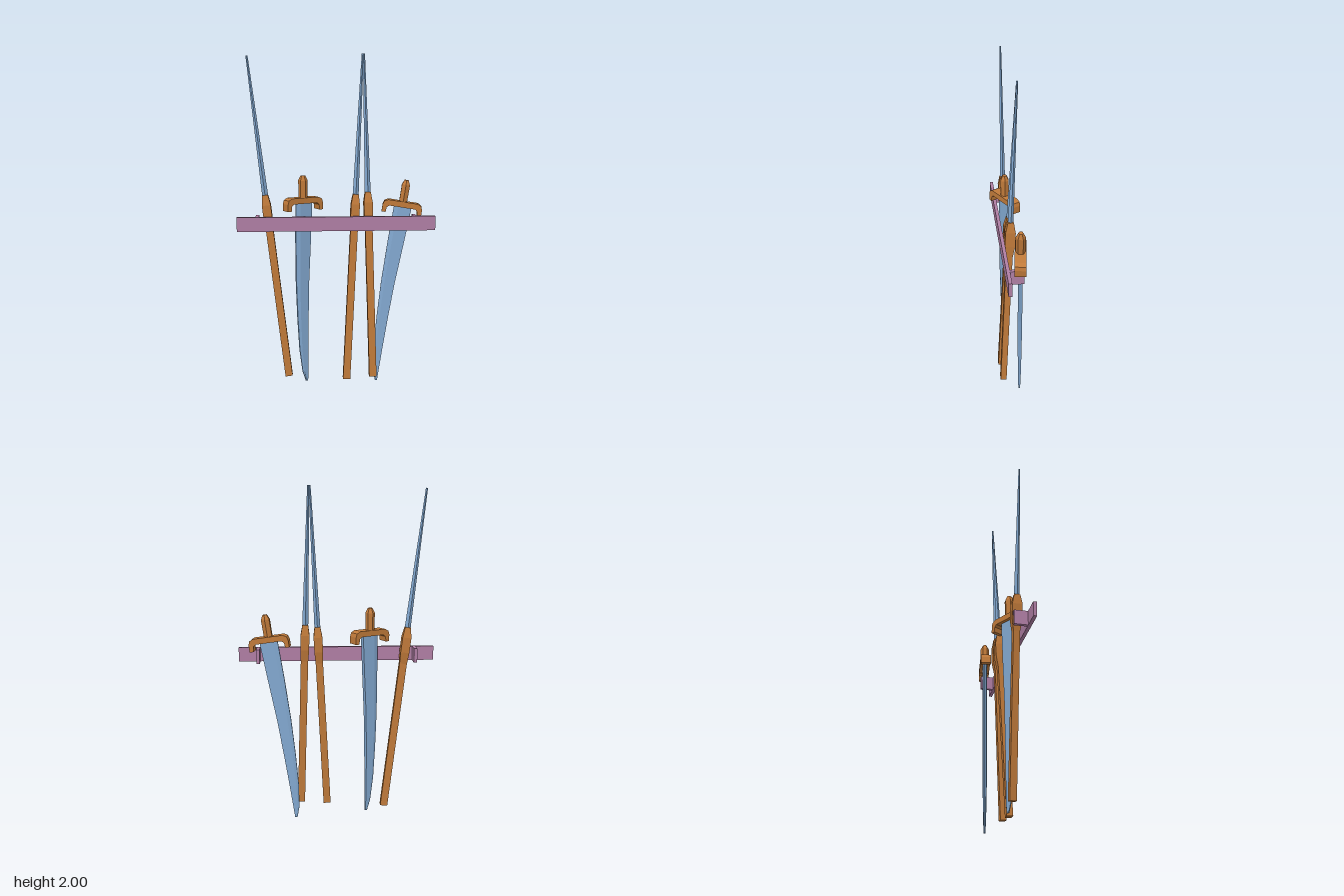
import * as THREE from 'three';

const mat = (color) => new THREE.MeshStandardMaterial({ color, flatShading: true });
const wood = mat(0xc07a3a), steel = mat(0x82a8d0), rack = mat(0xb07fa5);

function add(parent, name, geometry, material, x = 0, y = 0, z = 0) {
  const mesh = new THREE.Mesh(geometry, material);
  mesh.name = name;
  mesh.position.set(x, y, z);
  parent.add(mesh);
  return mesh;
}

// Skin a stack of [y, outline] sections; outlines run counterclockwise from above
function loft(sections) {
  const n = sections[0][1].length, pos = [], idx = [];
  for (const [y, outline] of sections) for (const [x, z] of outline) pos.push(x, y, z);
  for (let s = 0; s < sections.length - 1; s++) {
    for (let i = 0; i < n; i++) {
      const a = s * n + i, b = s * n + (i + 1) % n;
      idx.push(a, b, b + n, a, b + n, a + n);
    }
  }
  const top = (sections.length - 1) * n;
  for (let i = 1; i < n - 1; i++) idx.push(top, top + i, top + i + 1, 0, i + 1, i);
  const g = new THREE.BufferGeometry();
  g.setAttribute('position', new THREE.Float32BufferAttribute(pos, 3));
  g.setIndex(idx);
  const flat = g.toNonIndexed();
  flat.computeVertexNormals();
  return flat;
}

const rect = (w, d) => [[w / 2, d / 2], [w / 2, -d / 2], [-w / 2, -d / 2], [-w / 2, d / 2]];
const diamond = (w, d) => [[w / 2, 0], [0, -d / 2], [-w / 2, 0], [0, d / 2]];
// Blade section: thick spine at r, bevel down to a thin edge at l
const wedge = (l, r, t) => {
  const m = l + (r - l) * 0.25, e = t * 0.2;
  return [[r, t / 2], [r, -t / 2], [m, -t / 2], [l, -e], [l, e], [m, t / 2]];
};

// Spear running from its butt to its tip
function spear(name, butt, tip) {
  const g = new THREE.Group();
  g.name = name;
  const from = new THREE.Vector3(...butt), dir = new THREE.Vector3(...tip).sub(from);
  const len = dir.length();
  add(g, 'shaft', loft([[0, rect(0.044, 0.037)], [0.94, rect(0.044, 0.037)]]), wood);
  add(g, 'socket', loft([
    [0.91, rect(0.044, 0.037)], [0.98, rect(0.052, 0.058)],
    [1.07, rect(0.052, 0.058)], [1.13, rect(0.034, 0.034)],
  ]), wood);
  add(g, 'spike', loft([[1.11, diamond(0.036, 0.032)], [len, diamond(0.012, 0.01)]]), steel);
  g.position.copy(from);
  g.quaternion.setFromUnitVectors(new THREE.Vector3(0, 1, 0), dir.normalize());
  return g;
}

// Sword hanging point down, with its origin under the middle of the guard
function sword(name) {
  const g = new THREE.Group();
  g.name = name;

  const blade = [ // y, edge, spine, thickness
    [-1.11, 0.01, 0.024, 0.01], [-1.045, -0.012, 0.024, 0.015],
    [-0.9, -0.032, 0.024, 0.02], [-0.7, -0.044, 0.026, 0.024],
    [-0.48, -0.052, 0.031, 0.026], [-0.22, -0.053, 0.045, 0.026],
    [0.01, -0.05, 0.056, 0.026],
  ];
  add(g, 'blade', loft(blade.map(([y, l, r, t]) => [y, wedge(l, r, t)])), steel);

  // Guard: flat bar with drooping ends
  const half = [[0.09, 0.034], [0.112, 0.022], [0.119, 0], [0.119, -0.042], [0.095, -0.042], [0.092, -0.012], [0.078, 0]];
  const outline = [...half, ...half.map(([x, y]) => [-x, y]).reverse()];
  const shape = new THREE.Shape(outline.map(([x, y]) => new THREE.Vector2(x, y)));
  const guard = new THREE.ExtrudeGeometry(shape, { depth: 0.064, bevelEnabled: false });
  add(g, 'guard', guard.translate(0, 0, -0.032), wood);

  // Six-sided grip with a chamfered end
  const grip = [[0, 0.03], [0.027, 0.03], [0.028, 0.135], [0.014, 0.164], [0, 0.164]];
  add(g, 'grip', new THREE.LatheGeometry(grip.map(([x, y]) => new THREE.Vector2(x, y)), 6), wood);
  return g;
}

export function createModel() {
  const model = new THREE.Group();
  model.name = 'weaponRack';

  // Wall rail and its two brackets
  add(model, 'rail', new THREE.BoxGeometry(1.174, 0.085, 0.02), rack, 0, 1.0125, 0.046);
  for (const s of [-1, 1]) {
    add(model, 'bracket', new THREE.BoxGeometry(0.02, 0.085, 0.08), rack, s * 0.468, 1.0125, -0.002);
  }

  model.add(
    spear('spearRight', [-0.291, 0.057, -0.014], [-0.515, 1.985, -0.012]),
    spear('spearMiddle', [0.06, 0.055, 0.05], [0.156, 2.0, -0.033]),
    spear('spearLeft', [0.221, 0.067, 0.05], [0.163, 2.0, -0.033]),
  );

  const swordRight = sword('swordRight');
  swordRight.position.set(-0.197, 1.131, -0.003);
  swordRight.rotation.y = 0.51;

  const swordLeft = sword('swordLeft');
  swordLeft.position.set(0.4, 1.1, -0.03);
  swordLeft.rotation.set(0, -0.13, -0.15);
  model.add(swordRight, swordLeft);

  return model;
}
